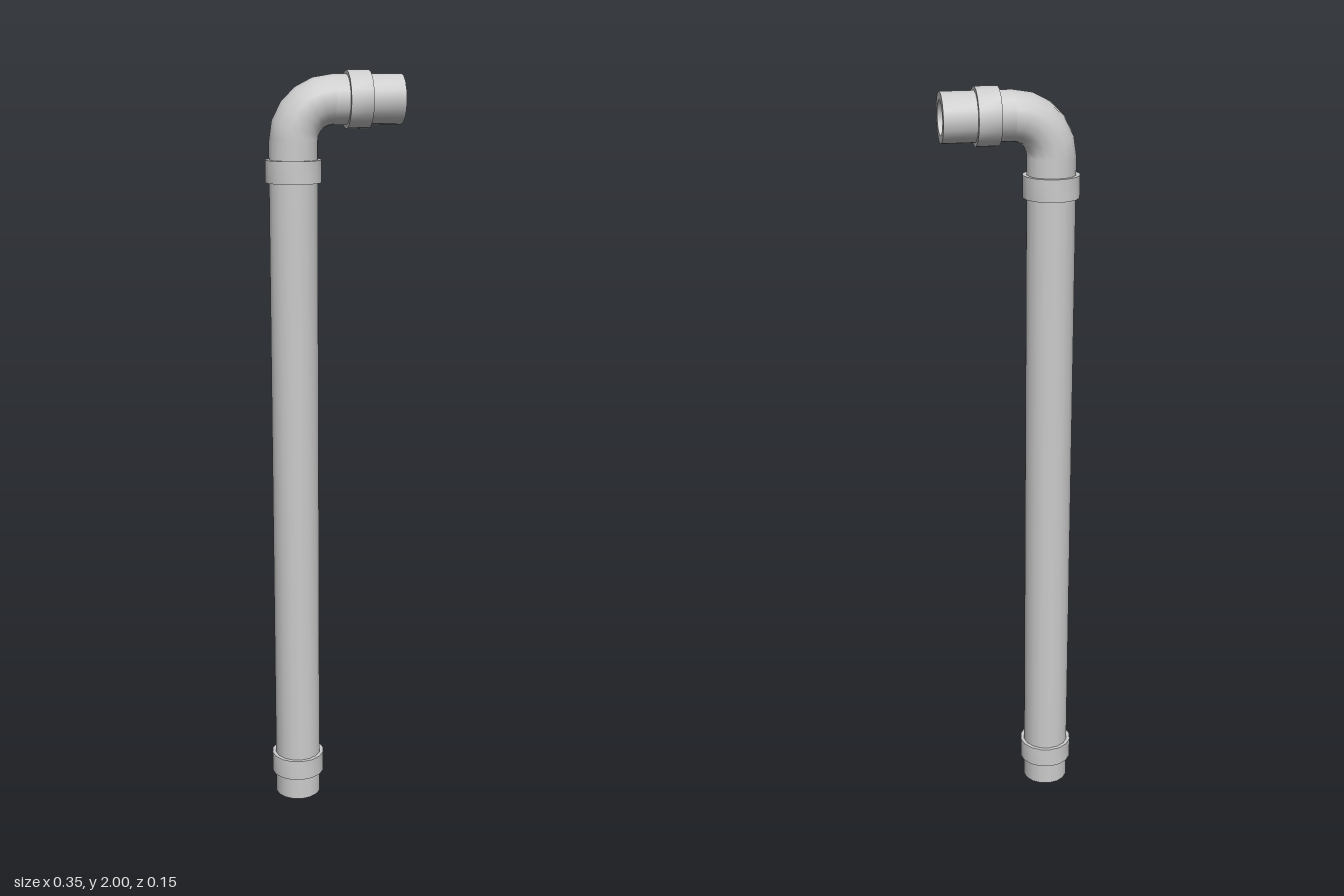
import * as THREE from 'three';
import { toCreasedNormals } from 'three/addons/utils/BufferGeometryUtils.js';

const SIDES = 16;
const OUTER = 0.063, BORE = 0.043, COLLAR = 0.073;
const AXIS_X = -0.103, AXIS_Y = 1.927, BEND = 0.1, END_X = 0.176;

export function createModel() {
  const group = new THREE.Group();
  const material = new THREE.MeshStandardMaterial({ color: 0xcccccc, side: THREE.DoubleSide });

  const add = (name, geometry, parent) => {
    const mesh = new THREE.Mesh(geometry, material);
    mesh.name = name;
    parent.add(mesh);
    return mesh;
  };
  const lathe = (points) => toCreasedNormals(
    new THREE.LatheGeometry(points.map(([r, y]) => new THREE.Vector2(r, y)), SIDES), Math.PI / 4);

  // Straight hollow pipe with an open lip at y = 0
  const pipe = (length) => lathe([[BORE, length], [BORE, 0], [OUTER, 0], [OUTER, length]]);
  // Ring that sits around a pipe between two heights
  const collar = (y0, y1) => lathe([
    [OUTER - 0.002, y1], [OUTER - 0.002, y0], [COLLAR, y0], [COLLAR, y1], [OUTER - 0.002, y1]]);

  // Upright run with its two collars
  const upright = new THREE.Group();
  upright.name = 'uprightRun';
  upright.position.x = AXIS_X;
  add('uprightPipe', pipe(AXIS_Y - BEND), upright);
  add('lowerCollar', collar(0.065, 0.122), upright);
  add('upperCollar', collar(1.723, 1.78), upright);
  group.add(upright);

  // Elbow, outer skin and bore
  const elbow = new THREE.Group();
  elbow.name = 'elbow';
  elbow.position.set(AXIS_X + BEND, AXIS_Y - BEND, 0);
  elbow.rotation.z = Math.PI / 2;
  add('elbowSkin', new THREE.TorusGeometry(BEND, OUTER, SIDES, 5, Math.PI / 2), elbow);
  add('elbowBore', new THREE.TorusGeometry(BEND, BORE, SIDES, 5, Math.PI / 2), elbow);
  group.add(elbow);

  // Short outlet pointing to +x, built from its open end inwards
  const outlet = new THREE.Group();
  outlet.name = 'outlet';
  outlet.position.set(END_X, AXIS_Y, 0);
  outlet.rotation.z = Math.PI / 2;
  add('outletPipe', pipe(END_X - AXIS_X - BEND), outlet);
  add('outletCollar', collar(0.085, 0.143), outlet);
  group.add(outlet);

  return group;
}
